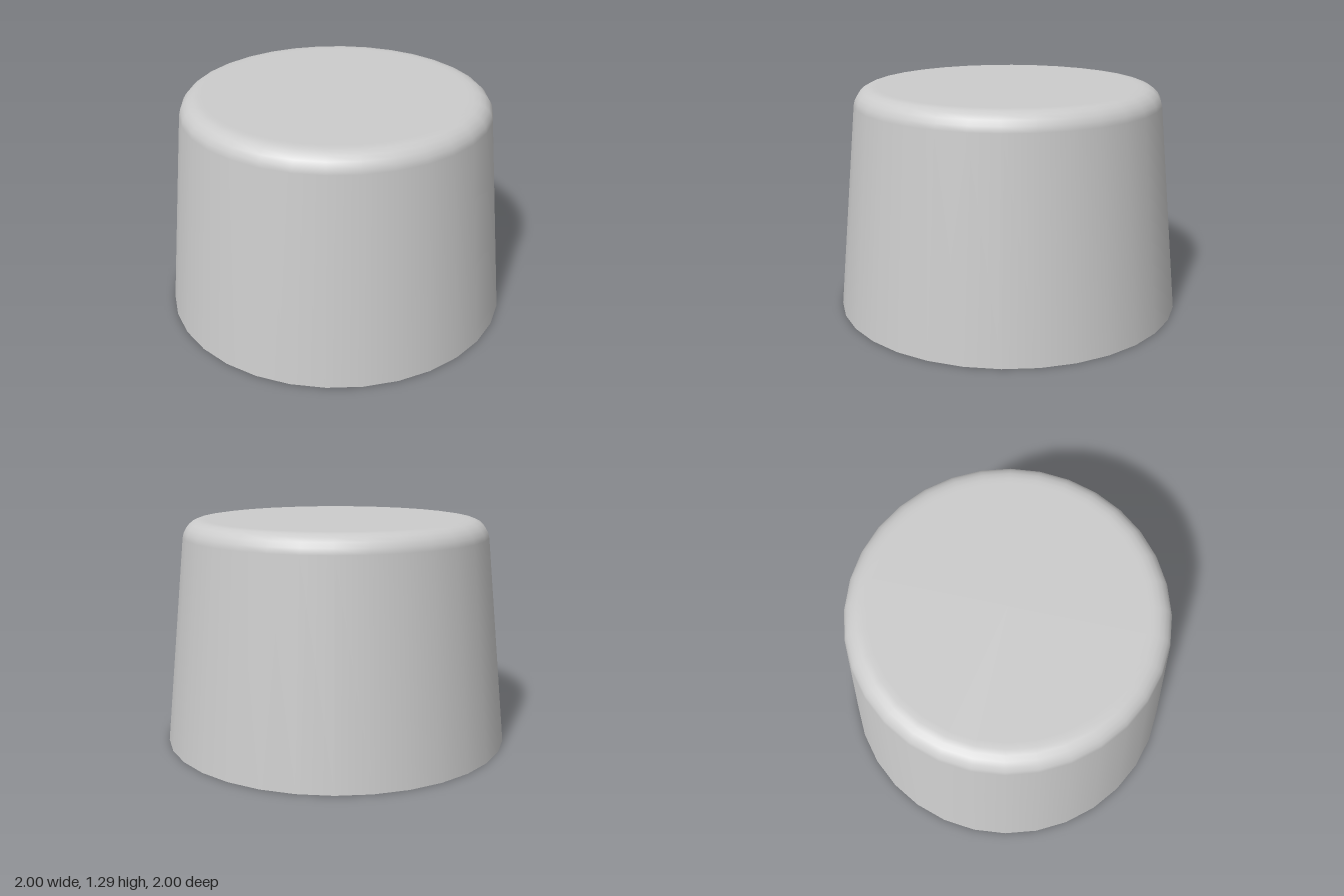
import * as THREE from 'three';

const SIDES = 32;

// Half profile of a tapered shell, from the open foot up to the centre of the top.
function shellProfile(footRadius, cornerRadius) {
  const centre = new THREE.Vector2(0.77, 1.18);
  const tilt = 0.1; // lean of the wall
  const steps = 5;
  const points = [new THREE.Vector2(footRadius, 0)];
  for (let i = 0; i <= steps; i++) {
    const a = tilt + (Math.PI / 2 - tilt) * (i / steps);
    points.push(new THREE.Vector2(
      centre.x + cornerRadius * Math.cos(a),
      centre.y + cornerRadius * Math.sin(a)
    ));
  }
  // support ring keeps the top shading flat
  points.push(new THREE.Vector2(0.74, centre.y + cornerRadius));
  points.push(new THREE.Vector2(0, centre.y + cornerRadius));
  return points;
}

export function createModel() {
  const model = new THREE.Group();
  model.name = 'cap';
  const material = new THREE.MeshStandardMaterial({ color: 0xcccccc });

  const addLathe = (name, points) => {
    const mesh = new THREE.Mesh(new THREE.LatheGeometry(points, SIDES), material);
    mesh.name = name;
    model.add(mesh);
  };

  // Outer wall and rounded top
  addLathe('outerShell', shellProfile(1, 0.11));

  // Hollow inside, run from the top down so it faces the axis
  addLathe('innerShell', shellProfile(0.98, 0.09).reverse());

  // Flat ring closing the wall at the foot
  addLathe('footRim', [new THREE.Vector2(0.98, 0), new THREE.Vector2(1, 0)]);

  return model;
}
